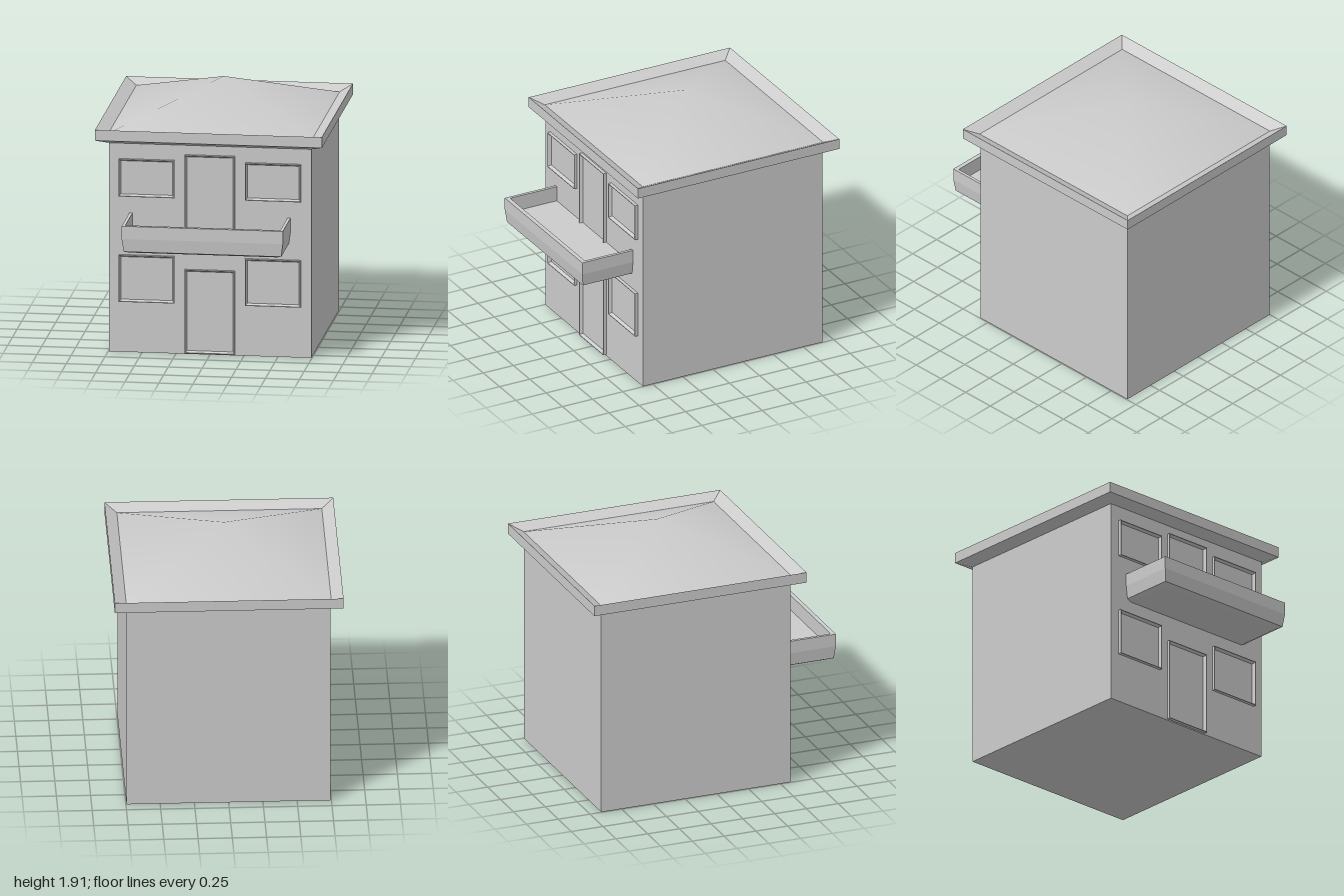
import * as THREE from 'three';

const material = new THREE.MeshStandardMaterial({ color: 0xcccccc });
const FRONT = 0.58, BACK = -0.91, MID = (FRONT + BACK) / 2;

// Skin rectangular rings [x0, x1, z0, z1, y]; smooth keeps shared normals.
function loft(rings, smooth = false) {
  const positions = [], index = [];
  for (const [x0, x1, z0, z1, y] of rings) {
    positions.push(x0, y, z1, x1, y, z1, x1, y, z0, x0, y, z0);
  }
  for (let r = 0; r < rings.length - 1; r++) {
    for (let i = 0; i < 4; i++) {
      const a = r * 4 + i, b = r * 4 + (i + 1) % 4;
      index.push(a, b, b + 4, a, b + 4, a + 4);
    }
  }
  let geometry = new THREE.BufferGeometry();
  geometry.setAttribute('position', new THREE.Float32BufferAttribute(positions, 3));
  geometry.setIndex(index);
  if (!smooth) geometry = geometry.toNonIndexed();
  geometry.computeVertexNormals();
  return geometry;
}

function part(name, geometry) {
  const mesh = new THREE.Mesh(geometry, material);
  mesh.name = name;
  return mesh;
}

// Raised frame on the front wall with a bevel sloping in to the pane.
function frame(name, x0, x1, y0, y1) {
  const ring = (inset, z) => [x0 + inset, x1 - inset, -y1 + inset, -y0 - inset, z];
  const geometry = loft([
    ring(0, FRONT - 0.005), ring(0, FRONT + 0.025),
    ring(0.005, FRONT + 0.025), ring(0.016, FRONT - 0.001),
  ]);
  return part(name, geometry.rotateX(Math.PI / 2));
}

export function createModel() {
  const model = new THREE.Group();
  model.name = 'house';

  // Walls
  const walls = part('walls', new THREE.BoxGeometry(1.49, 1.57, FRONT - BACK));
  walls.position.set(0, 0.785, MID);
  model.add(walls);

  // Eaves with a raised rim, and the shallow smooth pyramid inside it
  const square = (h, y) => [-h, h, MID - h, MID + h, y];
  model.add(part('eaves', loft([
    square(0.745, 1.565), square(0.835, 1.6), square(0.835, 1.68), square(0.748, 1.636),
  ])));
  const roof = new THREE.BufferGeometry();
  const h = 0.748;
  roof.setAttribute('position', new THREE.Float32BufferAttribute([
    -h, 1.636, MID + h, h, 1.636, MID + h, h, 1.636, MID - h, -h, 1.636, MID - h, 0, 1.91, MID,
  ], 3));
  roof.setIndex([0, 1, 4, 1, 2, 4, 2, 3, 4, 3, 0, 4]);
  roof.computeVertexNormals();
  model.add(part('roof', roof));

  // Doors and mirrored windows on both floors
  model.add(frame('frontDoor', -0.185, 0.185, 0.01, 0.635));
  model.add(frame('balconyDoor', -0.185, 0.185, 0.87, 1.495));
  for (const [level, y0, y1] of [['lower', 0.38, 0.73], ['upper', 1.17, 1.45]]) {
    model.add(frame(level + 'WindowLeft', 0.26, 0.67, y0, y1));
    model.add(frame(level + 'WindowRight', -0.67, -0.26, y0, y1));
  }

  // Balcony: tapered tub, hollow above its floor
  const wall = FRONT - 0.01;
  const tub = (w, z, y) => [-w, w, wall, z, y];
  model.add(part('balcony', loft([
    [0, 0, wall, wall, 0.835],
    tub(0.545, 0.94, 0.835), tub(0.58, 0.988, 0.852), tub(0.593, 1, 0.95), tub(0.593, 1, 1.045),
    tub(0.57, 0.967, 1.045), tub(0.57, 0.967, 0.93),
    [0, 0, wall, wall, 0.93],
  ])));

  return model;
}
